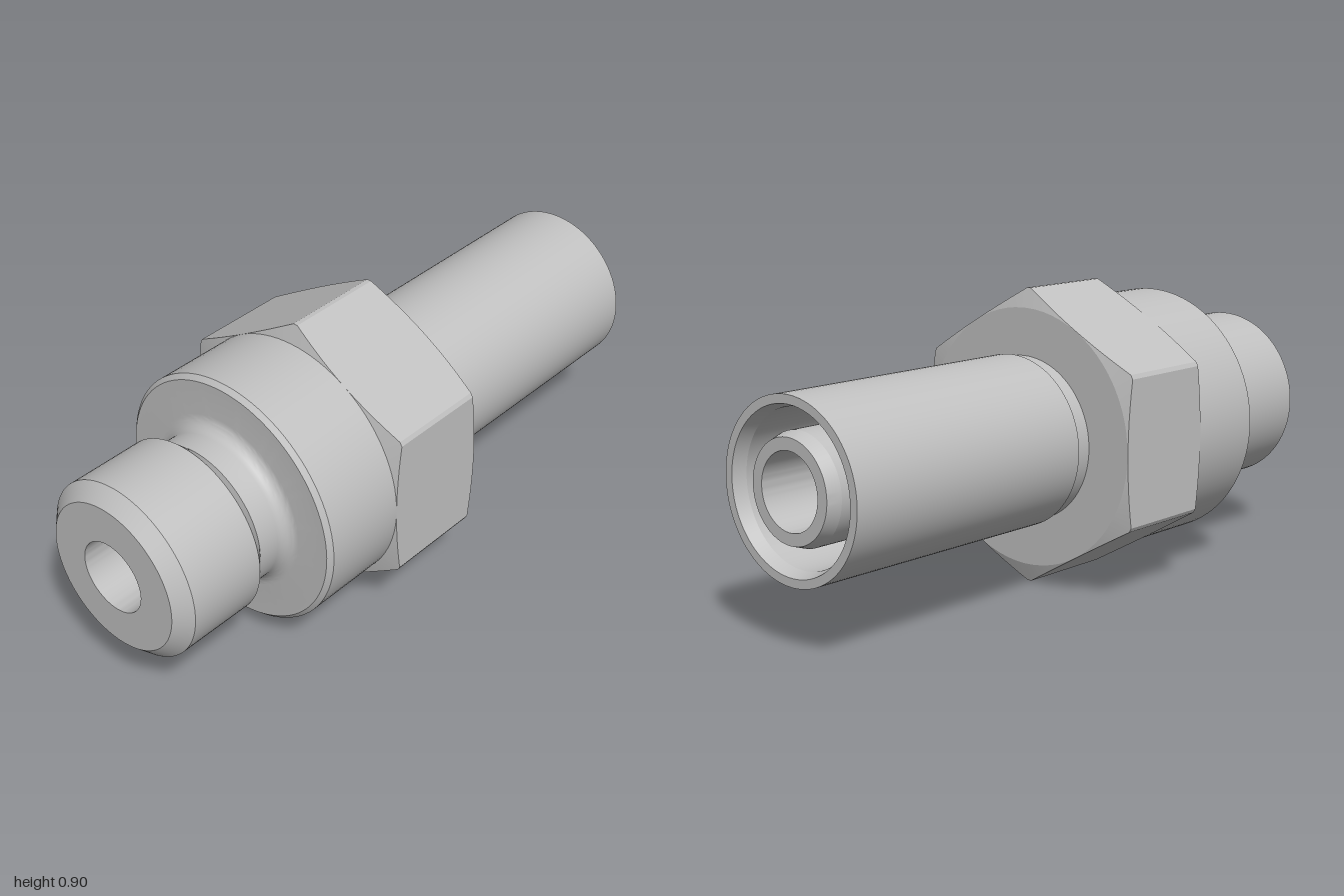
import * as THREE from 'three';
import { toCreasedNormals } from 'three/addons/utils/BufferGeometryUtils.js';

const AXIS_Y = 0.452;
const CREASE = 0.22;

// Closed profile of [x, radius] turned around the x axis
function turned(profile) {
  const points = profile.map(([x, r]) => new THREE.Vector2(r, x));
  const geometry = new THREE.LatheGeometry(points, 96).rotateZ(-Math.PI / 2);
  return toCreasedNormals(geometry, CREASE);
}

// Hexagon along x with conically chamfered ends and slightly turned corners
function hexagon(x0, x1, apothem, corner, hole) {
  const half = Math.acos(apothem / corner);
  const steps = 12;
  const rings = [[], [], [], [], [], []];
  for (let side = 0; side < 6; side++) {
    for (let i = 0; i <= steps; i++) {
      const off = half * (2 * i / steps - 1);
      const a = Math.PI / 6 + side * Math.PI / 3 + off;
      const r = apothem / Math.cos(off);
      const end = apothem - 0.001;
      const d = (r - end) * 0.32;
      [[x0, hole], [x0, end], [x0 + d, r], [x1 - d, r], [x1, end], [x1, hole]].forEach(([x, rad], k) => {
        rings[k].push([x, rad * Math.cos(a), rad * Math.sin(a)]);
      });
    }
  }
  const n = rings[0].length;
  const index = [];
  for (let k = 0; k < rings.length - 1; k++) {
    for (let j = 0; j < n; j++) {
      const a = k * n + j, b = k * n + (j + 1) % n;
      index.push(a, b, a + n, b, b + n, a + n);
    }
  }
  const geometry = new THREE.BufferGeometry();
  geometry.setAttribute('position', new THREE.Float32BufferAttribute(rings.flat(2), 3));
  geometry.setIndex(index);
  return toCreasedNormals(geometry, CREASE);
}

export function createModel() {
  const model = new THREE.Group();
  model.name = 'hoseFitting';
  const steel = new THREE.MeshStandardMaterial({ color: 0xc0c0c0 });
  steel.name = 'steel';

  const add = (name, geometry) => {
    const mesh = new THREE.Mesh(geometry, steel);
    mesh.name = name;
    mesh.position.y = AXIS_Y;
    model.add(mesh);
  };

  // Concave fillet between the groove and the collar
  const fillet = [];
  for (let i = 0; i <= 8; i++) {
    const t = i / 8 * Math.PI / 2;
    fillet.push([-0.6 + 0.04 * Math.sin(t), 0.275 - 0.04 * Math.cos(t)]);
  }

  // Threaded end, groove, collar, sleeve and inner nipple with a through bore
  add('turnedBody', turned([
    [-1, 0.111], [-1, 0.23], [-0.957, 0.275], [-0.712, 0.275], [-0.67, 0.235],
    ...fillet,
    [-0.56, 0.381], [-0.546, 0.395], [-0.275, 0.395], [-0.275, 0.25],
    [0.128, 0.25], [0.128, 0.261], [1, 0.261],
    [1, 0.235], [0.96, 0.222], [0.2, 0.222], [0.2, 0.16], [0.96, 0.16], [1, 0.147],
    [1, 0.111], [-1, 0.111],
  ]));

  add('hexNut', hexagon(-0.282, 0.07, 0.395, 0.452, 0.24));
  return model;
}
